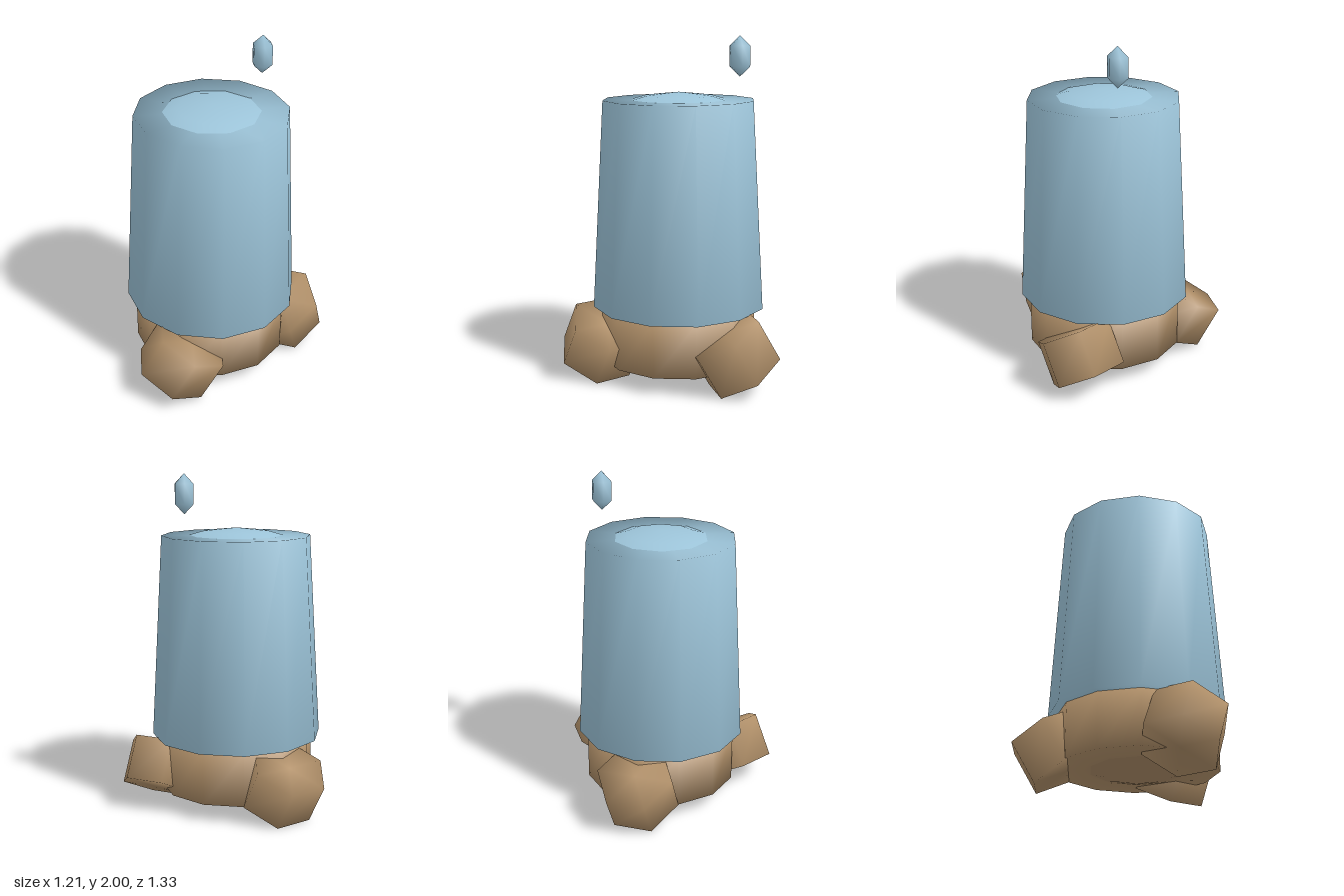
import * as THREE from 'three';
import { mergeVertices } from 'three/addons/utils/BufferGeometryUtils.js';

// Weld the corners so shading runs smoothly over walls and caps.
function smooth(geometry) {
  geometry.deleteAttribute('uv');
  geometry.deleteAttribute('normal');
  const welded = mergeVertices(geometry, 1e-4);
  welded.computeVertexNormals();
  return welded;
}

const lathe = (points, sides) =>
  new THREE.LatheGeometry(points.map(([r, y]) => new THREE.Vector2(r, y)), sides);

export function createModel() {
  const group = new THREE.Group();
  const blue = new THREE.MeshStandardMaterial({ color: 0x9dc5da });
  blue.name = 'pale blue';
  const brown = new THREE.MeshStandardMaterial({ color: 0xb2916a });
  brown.name = 'tan brown';

  const axisX = 0.093; // the three feet are uneven about x = 0
  const add = (name, geometry, material, x, y, z) => {
    const mesh = new THREE.Mesh(geometry, material);
    mesh.name = name;
    mesh.position.set(x, y, z);
    group.add(mesh);
    return mesh;
  };

  // Tapered body with a shallow dome on top
  add('body', smooth(new THREE.CylinderGeometry(0.443, 0.512, 1.207, 12)), blue, axisX, 1.031, 0);
  add('topDome', smooth(lathe([[0.287, 1.632], [0.2, 1.657], [0, 1.678]], 10)), blue, axisX, 0, 0);

  // Base drum with a matching dome beneath
  add('base', smooth(new THREE.CylinderGeometry(0.463, 0.463, 0.322, 12)), brown, axisX, 0.269, 0);
  add('bottomDome', smooth(lathe([[0, 0.07], [0.2, 0.091], [0.287, 0.11]], 10)), brown, axisX, 0, 0);

  // Three hexagonal feet, leaning in different directions around the base
  const footGeometry = smooth(new THREE.CylinderGeometry(0.231, 0.231, 0.266, 6));
  const footRing = 0.463, tilt = 0.52;
  [['frontFoot', 60], ['rightFoot', 180], ['backFoot', 300]].forEach(([name, degrees]) => {
    const a = THREE.MathUtils.degToRad(degrees);
    const foot = add(name, footGeometry, brown,
      axisX + footRing * Math.cos(a), 0.219, footRing * Math.sin(a));
    foot.rotation.set(-tilt * Math.sin(a), 0, -tilt * Math.cos(a));
  });

  // Small crystal floating above the back edge
  add('floatingCrystal',
    smooth(lathe([[0, 1.77], [0.06, 1.828], [0.06, 1.942], [0, 2]], 6)), blue, axisX, 0, -0.36);

  return group;
}
